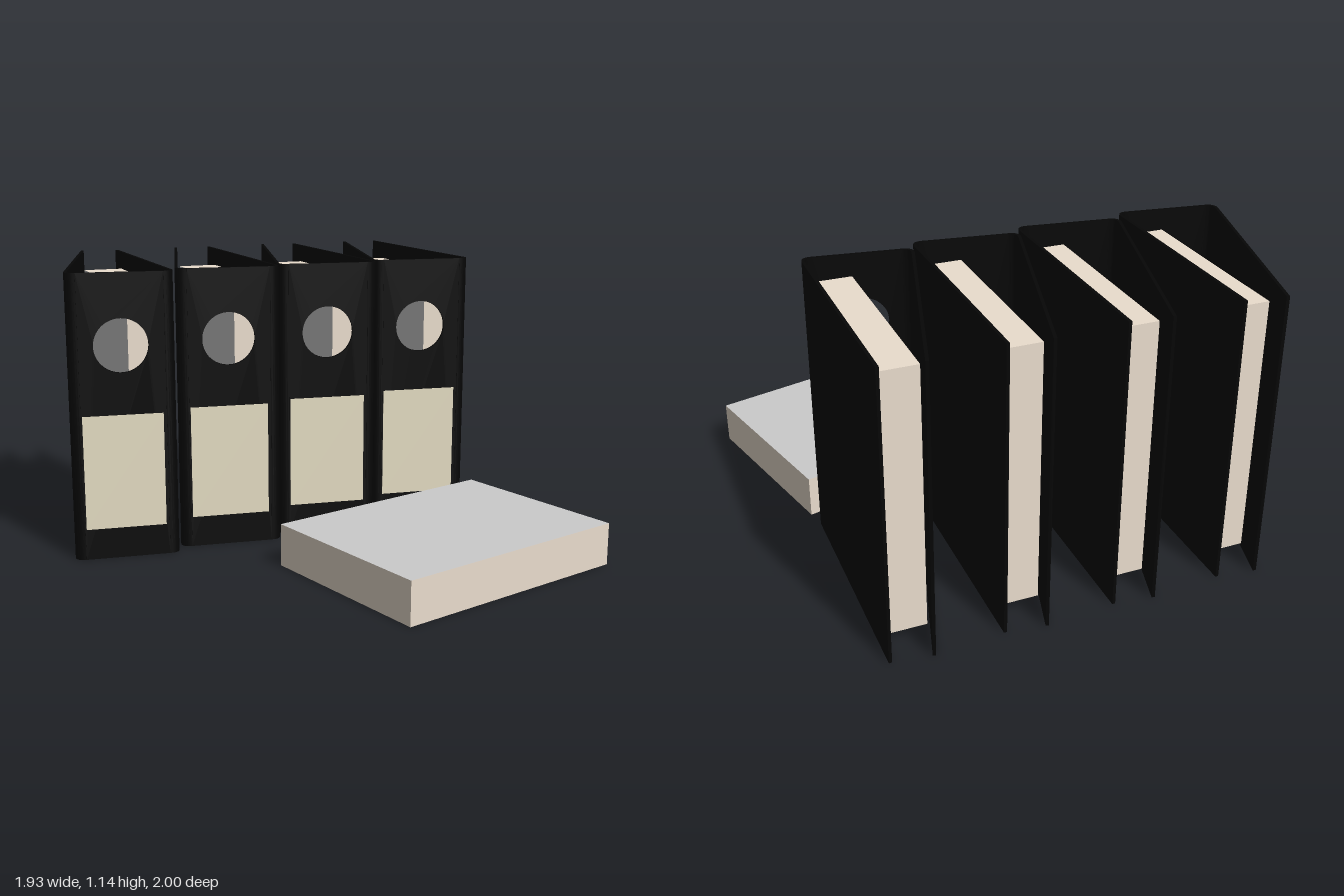
import * as THREE from 'three';
import { toCreasedNormals } from 'three/addons/utils/BufferGeometryUtils.js';

const HEIGHT = 1.145, BOARD = 0.012, FILLET = 0.04;
const black = new THREE.MeshStandardMaterial({ color: 0x060606 });
const labelMat = new THREE.MeshStandardMaterial({ color: 0xe6dec4 });
const edgeMat = new THREE.MeshStandardMaterial({ color: 0xeaddcd });
const sheetMat = new THREE.MeshStandardMaterial({ color: 0xcccccc });

const V = (x, z) => new THREE.Vector2(x, z);

function mesh(name, geometry, material) {
  const m = new THREE.Mesh(geometry, material);
  m.name = name;
  return m;
}

// Upright board following a plan path of (x, z) points
function wall(path) {
  const side = (s) => path.map((p, i) => {
    const a = path[Math.max(i - 1, 0)], b = path[Math.min(i + 1, path.length - 1)];
    const d = b.clone().sub(a).normalize();
    return V(p.x - d.y * s, -(p.y + d.x * s));
  });
  const outline = [...side(BOARD / 2), ...side(-BOARD / 2).reverse()];
  const g = new THREE.ExtrudeGeometry(new THREE.Shape(outline), { depth: HEIGHT, bevelEnabled: false });
  return toCreasedNormals(g.rotateX(-Math.PI / 2), 0.7);
}

// Cover that bends round a corner into the spine
function cover(back, corner, spineEnd) {
  const start = corner.clone().add(back.clone().sub(corner).setLength(FILLET));
  const bend = new THREE.QuadraticBezierCurve(start, corner, spineEnd);
  return wall([back, ...bend.getPoints(8)]);
}

// Block of paper: grey sheets on the two large sides (+-x), cream edges
function paperBlock(name) {
  return mesh(name, new THREE.BoxGeometry(0.17, 1.035, 0.765),
    [sheetMat, sheetMat, edgeMat, edgeMat, edgeMat, edgeMat]);
}

function binder() {
  const g = new THREE.Group();
  const left = V(-0.203, -0.103), right = V(0.208, -0.044);
  const along = right.clone().sub(left).setLength(FILLET);
  const spineA = left.clone().add(along), spineB = right.clone().sub(along);

  g.add(mesh('slantedCover', cover(V(0.055, -0.998), left, spineA), black));
  g.add(mesh('straightCover', cover(V(0.208, -0.977), right, spineB), black));

  // Spine with finger hole and label
  const spine = new THREE.Group();
  spine.name = 'spine';
  const mid = spineA.clone().add(spineB).multiplyScalar(0.5);
  spine.position.set(mid.x, 0, mid.y);
  spine.rotation.y = -Math.atan2(along.y, along.x);
  const w = spineA.distanceTo(spineB) / 2;
  const plate = new THREE.Shape([V(-w, 0), V(w, 0), V(w, HEIGHT), V(-w, HEIGHT)]);
  plate.holes.push(new THREE.Path().absarc(-0.003, 0.86, 0.107, 0, Math.PI * 2, true));
  const plateGeo = new THREE.ExtrudeGeometry(plate, { depth: BOARD, bevelEnabled: false, curveSegments: 32 });
  plateGeo.translate(0, 0, -BOARD / 2);
  spine.add(mesh('spinePlate', toCreasedNormals(plateGeo, 0.7), black));
  const label = mesh('spineLabel', new THREE.BoxGeometry(0.318, 0.46, BOARD + 0.004), labelMat);
  label.position.set(-0.004, 0.355, 0);
  spine.add(label);
  g.add(spine);

  // Papers resting against the straight cover
  const paper = paperBlock('filedPaper');
  paper.position.set(0.12, 0.5525, -0.4865);
  g.add(paper);
  return g;
}

export function createModel() {
  const model = new THREE.Group();
  model.name = 'bindersAndPaper';
  [-0.763, -0.324, 0.107, 0.536].forEach((x, i) => {
    const b = binder();
    b.name = 'binder' + (i + 1);
    b.position.x = x;
    model.add(b);
  });

  // Loose stack lying flat in front, turned a little
  const stack = new THREE.Group();
  stack.name = 'looseStack';
  const block = paperBlock('loosePaper');
  block.rotation.z = Math.PI / 2;
  stack.add(block);
  stack.position.set(0.365, 0.085, 0.5);
  stack.rotation.y = 0.255;
  model.add(stack);
  return model;
}
